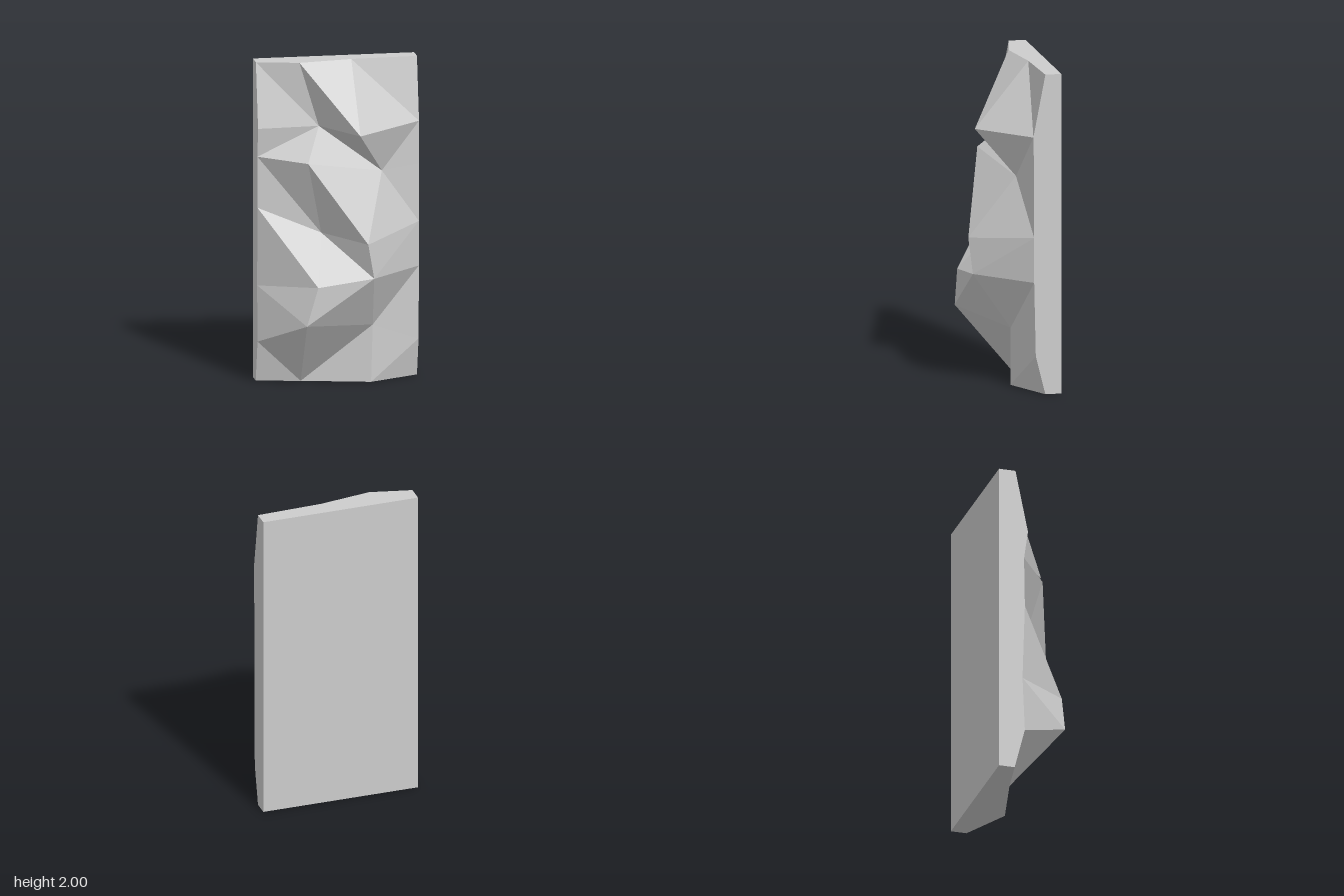
import * as THREE from 'three';

const BACK = -0.25;

// Facet corners [x, y, z], one row per course from the base upwards
const rows = [
  [[-0.5, 0, -0.15], [-0.23, 0, -0.1], [0.19, 0, 0], [0.5, 0, -0.15]],
  [[-0.5, 0.26, -0.085], [-0.25, 0.42, 0.25], [0.2, 0.36, 0], [0.5, 0.24, -0.09]],
  [[-0.5, 0.61, -0.1], [-0.18, 0.66, 0.25], [0.17, 0.7, 0.23], [0.5, 0.7, -0.08]],
  [[-0.5, 1.1, -0.085], [-0.12, 0.95, 0], [0.13, 0.92, 0.25], [0.5, 0.98, -0.08]],
  [[-0.5, 1.42, -0.09], [-0.22, 1.41, 0.115], [0.26, 1.32, -0.02], [0.5, 1.34, -0.08]],
  [[-0.5, 1.6, -0.065], [-0.12, 1.6, -0.085], [0.09, 1.59, 0.2], [0.5, 1.61, -0.075]],
  [[-0.5, 2, -0.145], [-0.24, 2, -0.085], [0.09, 2, -0.135], [0.5, 2, -0.15]],
];

// How each cell is split: '\\' top left to bottom right, '/' bottom left to top right
const splits = ['\\//', '\\//', '\\\\/', '\\\\\\', '/\\/', '\\\\\\'];

// Unshared corners give every facet its own flat normal
function facetMesh(name, triangles, material) {
  const geometry = new THREE.BufferGeometry();
  geometry.setAttribute('position', new THREE.Float32BufferAttribute(triangles.flat(2), 3));
  geometry.computeVertexNormals();
  const mesh = new THREE.Mesh(geometry, material);
  mesh.name = name;
  return mesh;
}

export function createModel() {
  const group = new THREE.Group();
  group.name = 'rockWallPanel';
  const stone = new THREE.MeshStandardMaterial({ color: 0xcccccc, flatShading: true });
  stone.name = 'pale grey stone';

  // Craggy front
  const front = [];
  splits.forEach((row, j) => {
    for (let i = 0; i < 3; i++) {
      const a = rows[j][i], b = rows[j][i + 1];
      const c = rows[j + 1][i + 1], d = rows[j + 1][i];
      if (row[i] === '/') front.push([a, b, c], [a, c, d]);
      else front.push([a, b, d], [b, c, d]);
    }
  });
  group.add(facetMesh('rockFace', front, stone));

  // Flat edges, following the rim of the front counterclockwise
  const last = rows.length - 1;
  const rim = [
    ...rows[0].slice(0, 3),
    ...rows.slice(0, last).map((r) => r[3]),
    ...rows[last].slice(1).reverse(),
    ...rows.slice(1).map((r) => r[0]).reverse(),
  ];
  const toBack = ([x, y]) => [x, y, BACK];
  const edges = [];
  rim.forEach((p, i) => {
    const n = rim[(i + 1) % rim.length];
    edges.push([p, toBack(p), toBack(n)], [p, toBack(n), n]);
  });
  group.add(facetMesh('panelEdges', edges, stone));

  // Flat back
  const [bl, br, tr, tl] = [rows[0][0], rows[0][3], rows[last][3], rows[last][0]].map(toBack);
  group.add(facetMesh('panelBack', [[bl, tl, tr], [bl, tr, br]], stone));

  return group;
}
